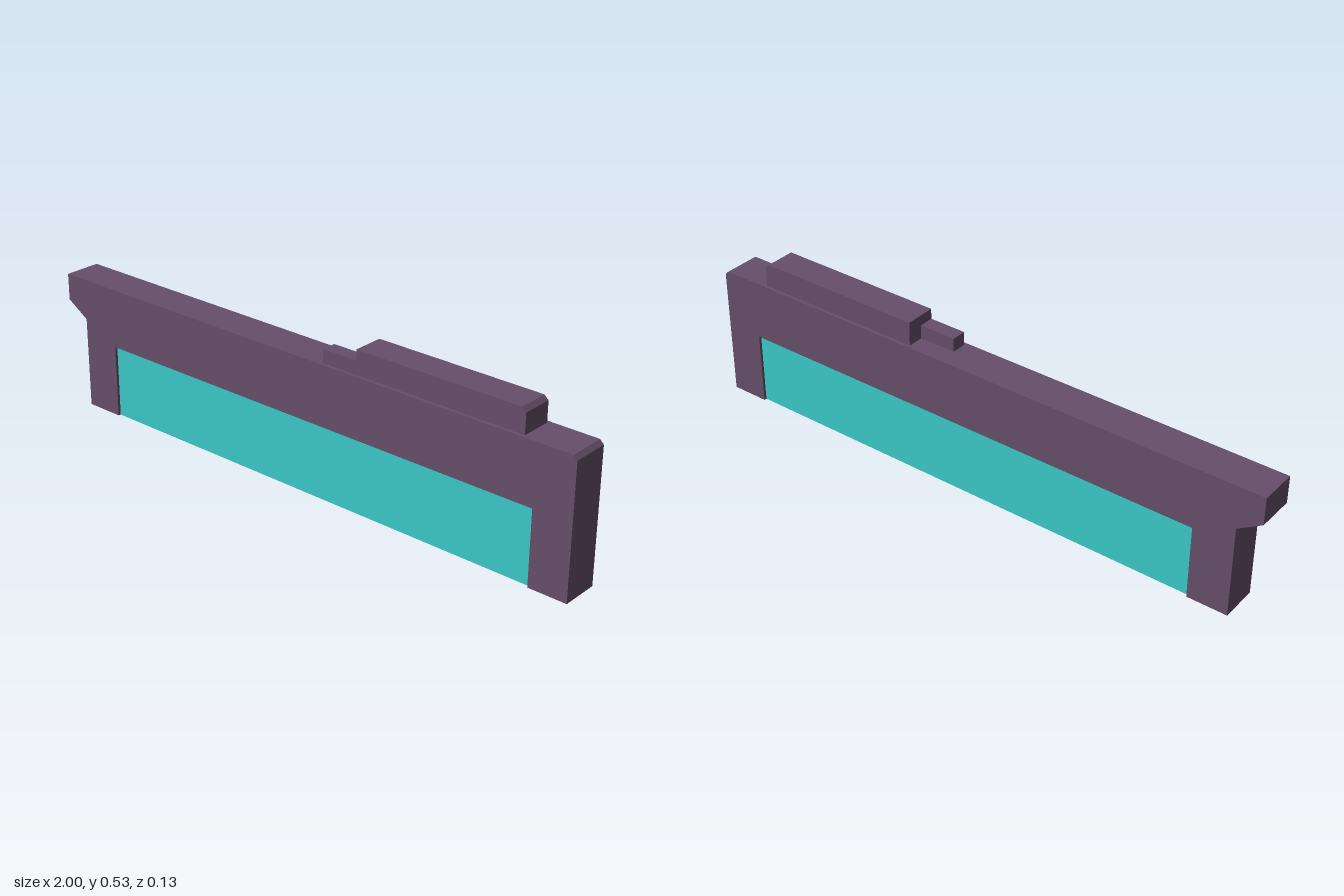
import * as THREE from 'three';
import { mergeGeometries } from 'three/addons/utils/BufferGeometryUtils.js';

const purple = new THREE.MeshStandardMaterial({ color: 0x664e6a, side: THREE.DoubleSide });
purple.name = 'dark purple';
const teal = new THREE.MeshStandardMaterial({ color: 0x3bcac9, side: THREE.DoubleSide });
teal.name = 'teal';

// Hollow shell from a counter-clockwise profile; edges lying on y = 0 stay open
function shell(profile, z0, z1) {
  const shape = new THREE.Shape(profile.map(([x, y]) => new THREE.Vector2(x, y)));
  const front = new THREE.ShapeGeometry(shape).toNonIndexed();
  const back = new THREE.ShapeGeometry(new THREE.Shape(profile.map(([x, y]) => new THREE.Vector2(-x, y)))).toNonIndexed();
  front.translate(0, 0, z1);
  back.rotateY(Math.PI).translate(0, 0, z0);

  const pos = [], uv = [];
  profile.forEach(([ax, ay], i) => {
    const [bx, by] = profile[(i + 1) % profile.length];
    if (ay === 0 && by === 0) return;
    pos.push(ax, ay, z1, ax, ay, z0, bx, by, z0, ax, ay, z1, bx, by, z0, bx, by, z1);
    uv.push(0, 0, 0, 1, 1, 1, 0, 0, 1, 1, 1, 0);
  });
  const walls = new THREE.BufferGeometry();
  walls.setAttribute('position', new THREE.Float32BufferAttribute(pos, 3));
  walls.setAttribute('uv', new THREE.Float32BufferAttribute(uv, 2));
  walls.computeVertexNormals();
  return mergeGeometries([front, back, walls]);
}

export function createModel() {
  const model = new THREE.Group();
  model.name = 'model';
  const add = (name, geometry, material) => {
    const mesh = new THREE.Mesh(geometry, material);
    mesh.name = name;
    model.add(mesh);
    return mesh;
  };

  // Frame with two legs, a bracket on one end and a clipped corner on the other
  add('frame', shell([
    [-0.92, 0], [-0.785, 0], [-0.785, 0.248], [0.87, 0.248], [0.87, 0], [1, 0],
    [1, 0.437], [0.987, 0.45], [-1, 0.45], [-1, 0.36], [-0.92, 0.31],
  ], -0.063, 0.063), purple);

  // Recessed panels on both faces
  for (const side of [1, -1]) {
    const panel = add(side > 0 ? 'frontPanel' : 'backPanel', new THREE.PlaneGeometry(1.655, 0.248), teal);
    panel.position.set(0.0425, 0.124, side * 0.054);
    if (side < 0) panel.rotation.y = Math.PI;
  }

  // Raised housing on the roof with a clipped corner
  add('roofHousing', shell([
    [0.235, 0.45], [0.825, 0.45], [0.825, 0.517], [0.811, 0.53], [0.235, 0.53],
  ], -0.052, 0.052), purple);

  // Low step beside the housing, on the front half only
  const step = add('roofStep', new THREE.BoxGeometry(0.126, 0.045, 0.05), purple);
  step.position.set(0.172, 0.4725, 0.027);

  return model;
}
